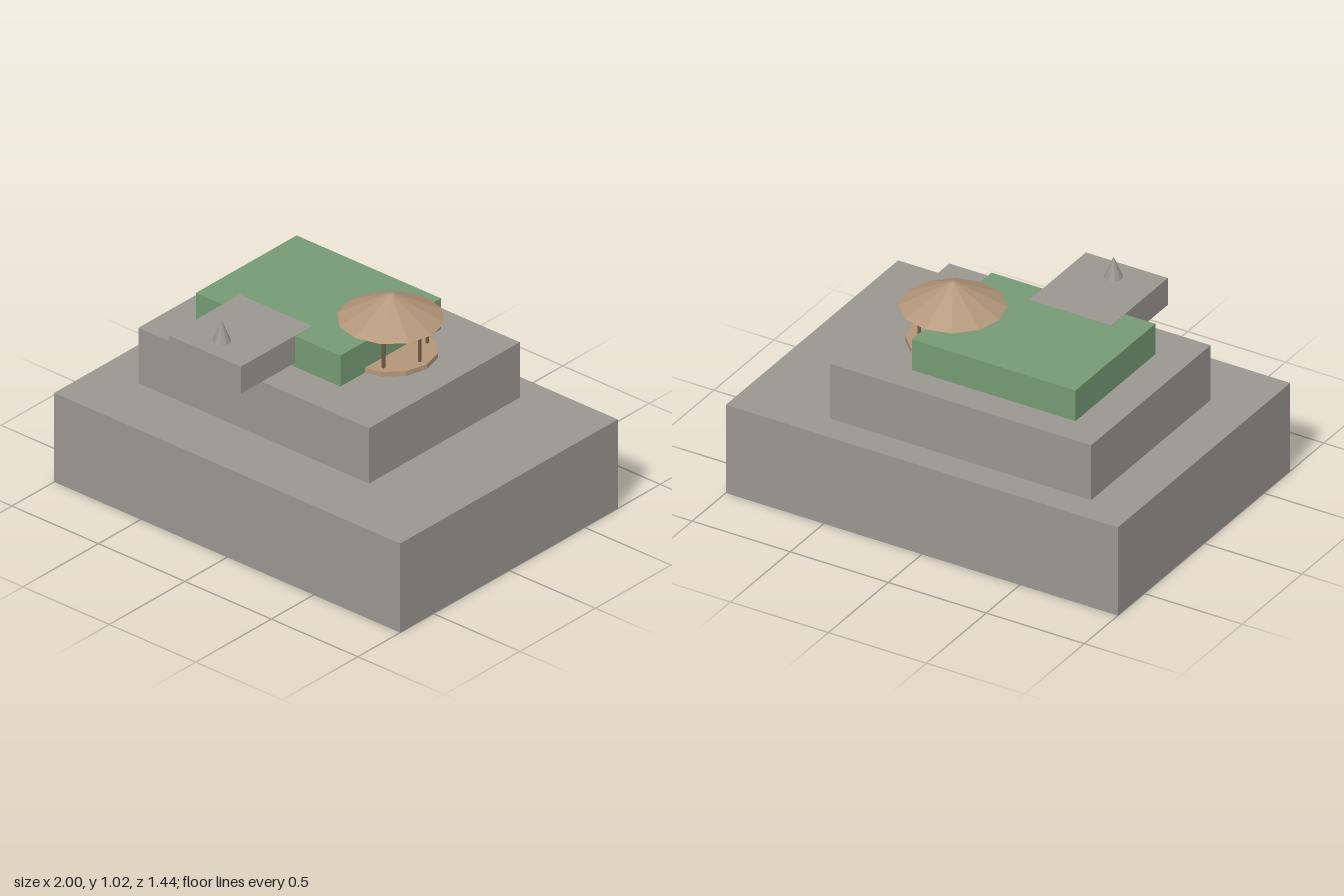
import * as THREE from 'three';

const mat = (name, color, flatShading = false) => {
  const m = new THREE.MeshStandardMaterial({ color, flatShading });
  m.name = name;
  return m;
};

export function createModel() {
  const model = new THREE.Group();
  model.name = 'terracedPavilion';
  const stone = mat('stone', 0x9a9791, true);
  const grass = mat('grass', 0x769a74, true);
  const wood = mat('wood', 0xb3967a, true);
  const darkWood = mat('darkWood', 0x715a47, true);

  const add = (parent, name, geometry, material, x, y, z) => {
    const mesh = new THREE.Mesh(geometry, material);
    mesh.name = name;
    mesh.position.set(x, y, z);
    parent.add(mesh);
    return mesh;
  };
  // Box given by its extents on each axis
  const block = (name, material, [x0, x1], [y0, y1], [z0, z1]) =>
    add(model, name, new THREE.BoxGeometry(x1 - x0, y1 - y0, z1 - z0), material,
      (x0 + x1) / 2, (y0 + y1) / 2, (z0 + z1) / 2);

  // Stepped terraces
  block('lowerTerrace', stone, [-1, 1], [0, 0.447], [-0.72, 0.72]);
  block('middleTerrace', stone, [-0.78, 0.553], [0.447, 0.725], [-0.583, 0.415]);
  block('lawn', grass, [-0.615, 0.22], [0.725, 0.88], [-0.443, 0.223]);

  // Overhanging balcony, a hair above the lawn, with its spike
  block('balcony', stone, [-0.46, -0.042], [0.745, 0.881], [0.11, 0.582]);
  add(model, 'spike', new THREE.ConeGeometry(0.042, 0.105, 10), stone, -0.253, 0.933, 0.467);

  // Round pavilion on six posts
  const pavilion = new THREE.Group();
  pavilion.name = 'pavilion';
  pavilion.position.set(0.195, 0.725, -0.14);
  model.add(pavilion);
  add(pavilion, 'pavilionFloor', new THREE.CylinderGeometry(0.208, 0.208, 0.024, 12), wood, 0, 0.012, 0);
  add(pavilion, 'pavilionRoof', new THREE.CylinderGeometry(0.012, 0.237, 0.12, 12), wood, 0, 0.24, 0);
  const postGeometry = new THREE.CylinderGeometry(0.008, 0.008, 0.158, 8);
  for (let i = 0; i < 6; i++) {
    const a = i * Math.PI / 3;
    add(pavilion, 'post', postGeometry, darkWood, 0.167 * Math.cos(a), 0.102, 0.167 * Math.sin(a));
  }
  return model;
}
